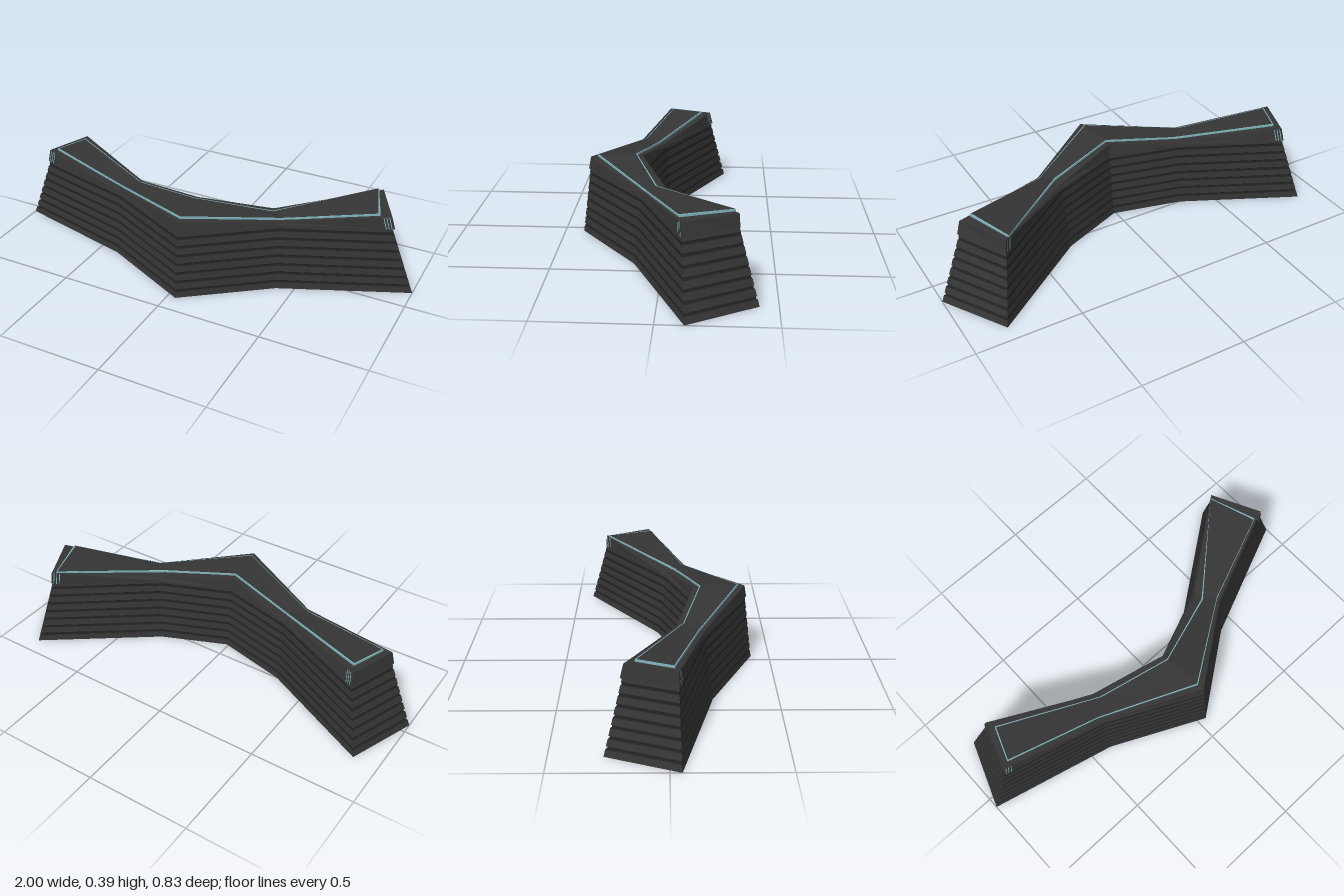
import * as THREE from 'three';

// Plan outlines, five stations per side, as [x, z]: back runs -x to +x, front runs +x to -x
const BASE = [[-0.88, -0.27], [-0.33, 0], [0.01, 0.08], [0.32, -0.05], [0.82, -0.42],
  [1, -0.12], [0.42, 0.13], [0.04, 0.41], [-0.4, 0.2], [-1, 0.05]];
const CAP = [[-0.805, -0.2], [-0.34, 0.027], [0.01, 0.113], [0.335, -0.02], [0.765, -0.335],
  [0.89, -0.105], [0.41, 0.098], [0.04, 0.377], [-0.39, 0.166], [-0.89, 0.04]];
const PLATE = [[-0.78, -0.14], [-0.33, 0.065], [0.01, 0.15], [0.35, 0.03], [0.74, -0.315],
  [0.82, -0.09], [0.41, 0.075], [0.03, 0.335], [-0.4, 0.135], [-0.84, 0.02]];
const HEIGHT = [0.383, 0.338, 0.38, 0.338, 0.383];
const WALL_TOP = 0.322;

const heightAt = (i) => HEIGHT[i < 5 ? i : 9 - i];
const mix = (a, b, t) => a.map((p, i) => [p[0] + (b[i][0] - p[0]) * t, p[1] + (b[i][1] - p[1]) * t]);
const ring = (outline, y) => outline.map(([x, z], i) => [x, typeof y === 'function' ? y(i) : y, z]);

// Flat-shaded geometry from a list of four-cornered faces
function quads(list) {
  const pos = [];
  for (const [a, b, c, d] of list) pos.push(...a, ...b, ...c, ...a, ...c, ...d);
  const g = new THREE.BufferGeometry();
  g.setAttribute('position', new THREE.Float32BufferAttribute(pos, 3));
  g.computeVertexNormals();
  return g;
}

// Band of faces between a lower and an upper ring
const band = (lo, hi) => lo.map((p, i) => {
  const j = (i + 1) % lo.length;
  return [p, hi[i], hi[j], lo[j]];
});

// Upward surface spanning back to front
const lid = (r) => [0, 1, 2, 3].map((i) => [r[i], r[9 - i], r[8 - i], r[i + 1]]);

export function createModel() {
  const group = new THREE.Group();
  const material = (name, color) =>
    new THREE.MeshStandardMaterial({ name, color, side: THREE.DoubleSide });
  const charcoal = material('charcoal', 0x353535);
  const black = material('groove black', 0x222222);
  const teal = material('pale teal', 0x7fb3bb);
  const add = (name, faces, mat) => {
    const mesh = new THREE.Mesh(quads(faces), mat);
    mesh.name = name;
    group.add(mesh);
  };

  // Leaning wall of overlapping boards with narrow grooves between them, open below
  const inner = mix(CAP, PLATE, 0.15);
  const wallRing = (y, inset = 0) =>
    ring(mix(mix(BASE, inner, y / WALL_TOP), PLATE, inset), y);
  const boards = [], grooves = [];
  const pitch = 0.0435;
  for (let y = 0; y < WALL_TOP - 0.001; y += pitch) {
    const top = Math.min(y + 0.03, WALL_TOP);
    const next = Math.min(y + pitch, WALL_TOP);
    boards.push(...band(wallRing(y), wallRing(top)));
    if (next > top) {
      grooves.push(...band(wallRing(top), wallRing(top + 0.001, 0.06)));
      grooves.push(...band(wallRing(top + 0.001, 0.06), wallRing(next - 0.003, 0.06)));
      grooves.push(...band(wallRing(next - 0.003, 0.06), wallRing(next)));
    }
  }
  add('wallBoards', boards, charcoal);
  add('wallGrooves', grooves, black);

  // Overhanging cap with a wavy top
  const capLow = ring(CAP, WALL_TOP);
  const capHigh = ring(mix(CAP, PLATE, 0.25), heightAt);
  add('cap', [
    ...band(ring(inner, WALL_TOP), capLow),
    ...band(capLow, capHigh),
    ...lid(capHigh),
  ], charcoal);

  // Raised top plate with a coloured rim
  const rimLow = ring(PLATE, heightAt);
  const rimHigh = ring(PLATE, (i) => heightAt(i) + 0.01);
  const plateTop = ring(mix(PLATE, mix(CAP, PLATE, 2), 0.12), (i) => heightAt(i) + 0.01);
  add('plateRim', [...band(rimLow, rimHigh), ...band(rimHigh, plateTop)], teal);
  add('topPlate', lid(plateTop), charcoal);

  // Three thin upright lines beside each end corner of the cap
  const trim = [];
  for (const [corner, next, out] of [[0, 1, -1], [4, 3, -1], [5, 6, 1], [9, 8, 1]]) {
    const at = (r, t) => r[corner].map((v, k) =>
      v + (r[next][k] - v) * t + (k === 2 ? out * 0.002 : 0));
    for (let n = 0; n < 3; n++) {
      const t = 0.02 + n * 0.025;
      trim.push([at(capLow, t), at(capHigh, t), at(capHigh, t + 0.008), at(capLow, t + 0.008)]);
    }
  }
  add('cornerTrim', trim, teal);

  return group;
}
